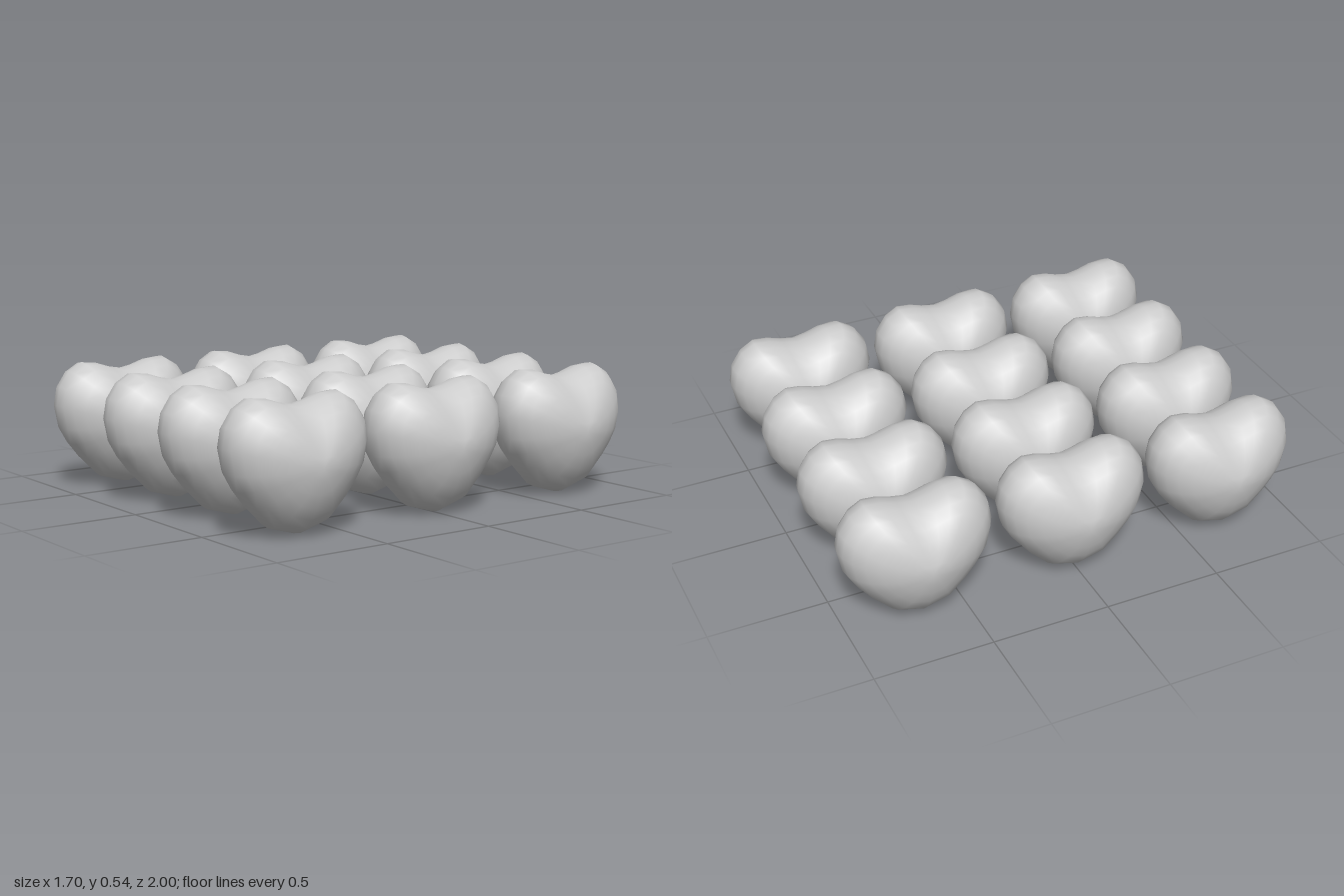
import * as THREE from 'three';
import { mergeVertices } from 'three/addons/utils/BufferGeometryUtils.js';

// Half of the heart outline as [z, y], from the bottom tip to the top notch
const HALF = [
  [0, 0], [0.12, 0.035], [0.205, 0.12], [0.26, 0.19], [0.3, 0.26], [0.32, 0.36],
  [0.305, 0.44], [0.26, 0.505], [0.2, 0.54], [0.13, 0.533], [0.065, 0.512], [0, 0.5],
];
const MID_Y = 0.28;
const HALF_THICK = 0.198;

// Puffy heart: a sphere with its poles on x, whose rings are shrunken heart outlines
function heartGeometry() {
  const outline = [
    ...HALF.map(([z, y]) => [-z, y]),
    ...HALF.slice(0, -1).reverse(),
  ];
  const around = outline.length - 1;
  const rings = 14;
  const geometry = new THREE.SphereGeometry(1, around, rings);
  const position = geometry.attributes.position;
  for (let r = 0; r <= rings; r++) {
    const angle = (Math.PI * r) / rings;
    const spread = r === 0 || r === rings ? 0 : Math.sin(angle);
    const rise = Math.pow(spread, 1.2);
    for (let i = 0; i <= around; i++) {
      const [z, y] = outline[i];
      position.setXYZ(
        r * (around + 1) + i,
        HALF_THICK * Math.cos(angle),
        MID_Y + (y - MID_Y) * rise,
        z * spread,
      );
    }
  }
  // Weld the seam so the shading is smooth all round
  geometry.deleteAttribute('uv');
  geometry.deleteAttribute('normal');
  const welded = mergeVertices(geometry, 1e-5);
  welded.computeVertexNormals();
  return welded;
}

export function createModel() {
  const group = new THREE.Group();
  group.name = 'heartGrid';
  const geometry = heartGeometry();
  const material = new THREE.MeshStandardMaterial({ color: 0xcccccc });

  // Three rows of four hearts
  for (let row = 0; row < 3; row++) {
    for (let col = 0; col < 4; col++) {
      const heart = new THREE.Mesh(geometry, material);
      heart.name = `heartRow${row + 1}Column${col + 1}`;
      heart.position.set((col - 1.5) * 0.433, 0, (row - 1) * 0.68);
      group.add(heart);
    }
  }
  return group;
}
